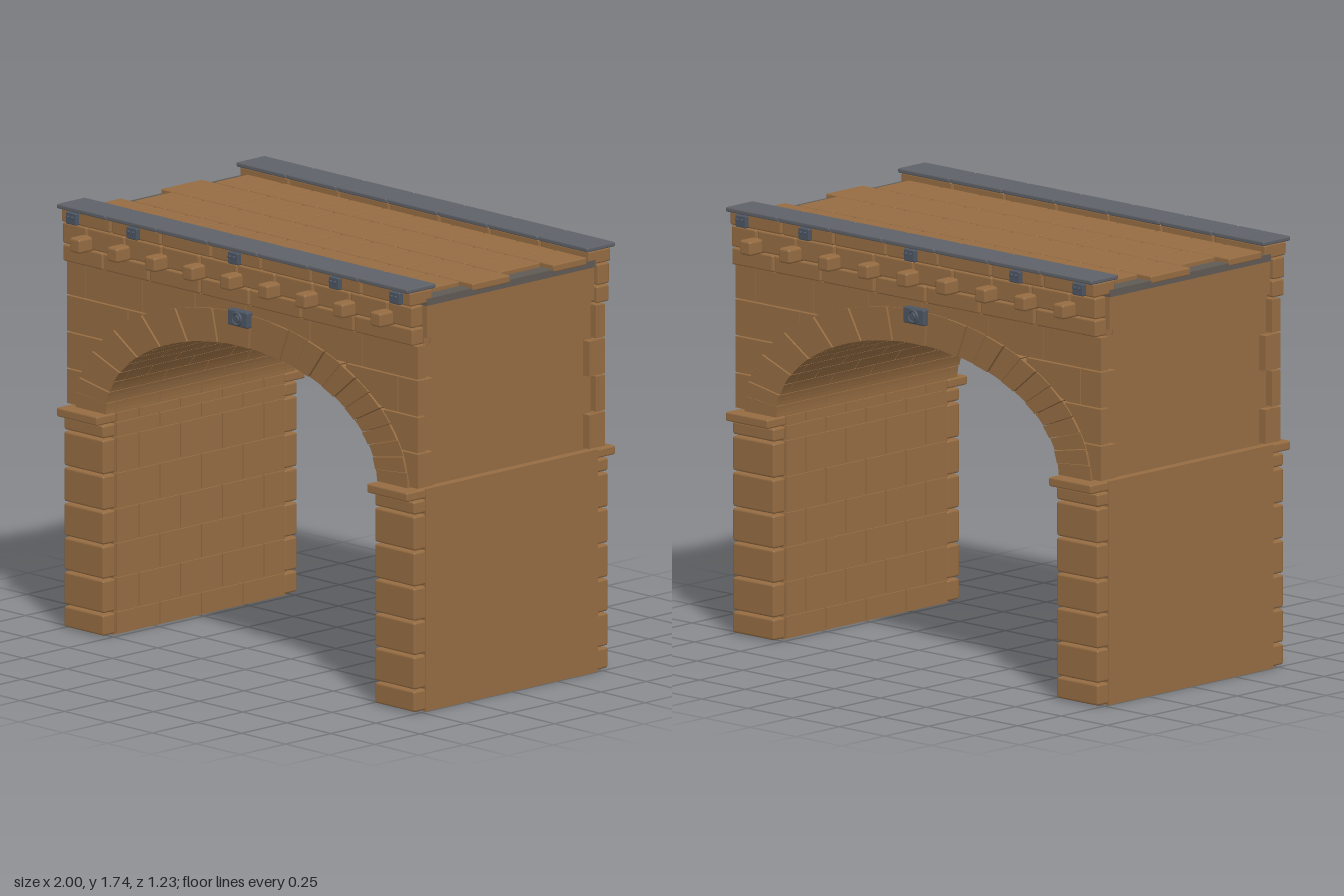
import * as THREE from 'three';
import { RoundedBoxGeometry } from 'three/addons/geometries/RoundedBoxGeometry.js';

const mat = (name, color) => Object.assign(new THREE.MeshStandardMaterial({ color }), { name });
const stone = mat('brown stone', 0x956c42);
const slate = mat('grey slate', 0x5e6167);
const metal = mat('dark iron', 0x4c5562);
const bedding = mat('deck bedding', 0x605a54);

const SPRING = 0.91, GAP = 0.008, VOUSSOIRS = 27;
const COURSES = [0.005, 0.097, 0.237, 0.377, 0.517, 0.663, 0.81, 0.87];

function add(parent, name, geometry, material) {
  const mesh = new THREE.Mesh(geometry, material);
  mesh.name = name;
  parent.add(mesh);
  return mesh;
}

// Box given by its lower and upper limits, optionally with worn edges
function block(parent, name, material, x0, x1, y0, y1, z0, z1, r = 0) {
  const w = x1 - x0, h = y1 - y0, d = z1 - z0;
  const geo = r ? new RoundedBoxGeometry(w, h, d, 1, r) : new THREE.BoxGeometry(w, h, d);
  const mesh = add(parent, name, geo, material);
  mesh.position.set((x0 + x1) / 2, (y0 + y1) / 2, (z0 + z1) / 2);
  return mesh;
}

// Row of blocks along x between the listed joints
function row(parent, name, material, joints, y0, y1, z0, z1, r = 0.008) {
  for (let i = 0; i < joints.length - 1; i++) {
    block(parent, name, material, joints[i] + GAP / 2, joints[i + 1] - GAP / 2, y0, y1, z0, z1, r);
  }
}

function extrude(parent, name, points, z0, z1) {
  const geo = new THREE.ExtrudeGeometry(new THREE.Shape(points), { depth: z1 - z0, bevelEnabled: false });
  geo.translate(0, 0, z0);
  return add(parent, name, geo, stone);
}

const onEllipse = (rx, ry, t) => new THREE.Vector2(rx * Math.cos(t), SPRING + ry * Math.sin(t));

// Wedge of the arch between two inner and two outer radii
function wedge(rx0, ry0, rx1, ry1, t0, t1) {
  const pts = [], n = 3;
  for (let i = 0; i <= n; i++) pts.push(onEllipse(rx1, ry1, t0 + (t1 - t0) * i / n));
  for (let i = n; i >= 0; i--) pts.push(onEllipse(rx0, ry0, t0 + (t1 - t0) * i / n));
  return pts;
}

// Wall stone whose lower edge is cut by the outer curve of the arch
function spandrelStone(parent, x0, x1, y0, y1, z0, z1) {
  const lower = [], n = 24;
  for (let i = 0; i <= n; i++) {
    const x = x0 + (x1 - x0) * i / n;
    const inside = Math.max(0, 1 - (x / 0.945) ** 2);
    const y = Math.max(y0, inside > 0 ? SPRING + 0.55 * Math.sqrt(inside) : y0);
    if (y < y1 - 0.001) lower.push(new THREE.Vector2(x, y));
  }
  if (lower.length < 2) return;
  const first = lower[0].x, last = lower[lower.length - 1].x;
  extrude(parent, 'spandrelStone', [...lower, new THREE.Vector2(last, y1), new THREE.Vector2(first, y1)], z0, z1);
}

function evenJoints(x0, x1, n) {
  return Array.from({ length: n + 1 }, (_, i) => x0 + (x1 - x0) * i / n);
}

function createFacade() {
  const g = new THREE.Group();
  g.name = 'facade';

  // Corner stones of the piers and their imposts
  for (const s of [-1, 1]) {
    for (let i = 0; i < COURSES.length - 1; i++) {
      const x = [s * 0.77, s * 0.998].sort((a, b) => a - b);
      block(g, 'pierStone', stone, x[0], x[1], COURSES[i] + 0.003, COURSES[i + 1] - 0.003, 0.467, 0.536, 0.01);
    }
    const x = [s * 0.766, s * 0.998].sort((a, b) => a - b);
    block(g, 'impost', stone, x[0], x[1], 0.872, SPRING, 0.467, 0.576, 0.008);
  }

  // Ring of wedge stones
  for (let i = 0; i < VOUSSOIRS; i++) {
    const a = Math.PI * i / VOUSSOIRS, b = Math.PI * (i + 1) / VOUSSOIRS;
    const proud = 0.522 + 0.005 * (i % 2);
    extrude(g, 'archStone', wedge(0.77, 0.415, 0.945, 0.55, a + 0.003, b - 0.003), 0.47, proud);
  }

  // Wall stones above the arch
  const wall = [
    [0.915, 1.06, [-0.998, 0, 0.998]],
    [1.06, 1.21, [-0.998, -0.8, 0, 0.8, 0.998]],
    [1.21, 1.36, [-0.998, -0.65, 0, 0.885, 0.998]],
    [1.36, 1.5, [-0.998, -0.89, -0.57, -0.27, 0.02, 0.385, 0.685, 0.998]],
  ];
  wall.forEach(([y0, y1, joints], k) => {
    for (let i = 0; i < joints.length - 1; i++) {
      spandrelStone(g, joints[i] + 0.002, joints[i + 1] - 0.002, y0 + 0.003, y1 - 0.003, 0.47, 0.517);
    }
    // Returns of the corner stones along the side walls
    for (const s of [-1, 1]) {
      const x = [s * 0.95, s * 0.998].sort((a, b) => a - b);
      block(g, 'cornerReturn', stone, x[0], x[1], y0 + 0.004, y1 - 0.004, k % 2 ? 0.48 : 0.43, 0.517);
    }
  });

  // Stepped courses under the parapet
  row(g, 'lowerCourse', stone, [-0.998, -0.765, -0.505, -0.215, 0.065, 0.36, 0.66, 0.998], 1.503, 1.572, 0.478, 0.544);
  row(g, 'upperCourse', stone, [-0.998, -0.855, -0.64, -0.43, -0.215, 0, 0.215, 0.43, 0.64, 0.855, 0.998],
    1.576, 1.662, 0.482, 0.546);
  for (let i = -4; i <= 4; i++) {
    const x = i * 0.2138;
    block(g, 'corbel', stone, x - 0.031, x + 0.031, 1.57, 1.63, 0.5, 0.616, 0.011);
  }

  // Parapet with slate coping
  const coping = evenJoints(-1.003, 1.003, 7);
  row(g, 'parapetStone', stone, coping.map((x) => x * 0.995), 1.665, 1.722, 0.432, 0.553);
  row(g, 'copingSlab', slate, coping, 1.721, 1.74, 0.418, 0.575, 0.006);

  // Riveted iron clamps
  for (const x of [-0.92, -0.575, 0, 0.575, 0.92]) {
    block(g, 'clamp', metal, x - 0.029, x + 0.029, 1.667, 1.716, 0.545, 0.572, 0.005);
    for (const dx of [-0.012, 0.012]) {
      const rivet = add(g, 'clampRivet', new THREE.CylinderGeometry(0.006, 0.006, 0.014, 8), metal);
      rivet.rotation.x = Math.PI / 2;
      rivet.position.set(x + dx, 1.698, 0.577);
    }
  }

  // Iron plate with a ring at the crown of the arch
  block(g, 'crownPlate', metal, -0.057, 0.057, 1.408, 1.474, 0.51, 0.546, 0.007);
  const ring = add(g, 'crownRing', new THREE.TorusGeometry(0.024, 0.006, 8, 20), metal);
  ring.position.set(0, 1.441, 0.548);
  const boss = add(g, 'crownBoss', new THREE.CylinderGeometry(0.015, 0.018, 0.014, 16), metal);
  boss.rotation.x = Math.PI / 2;
  boss.position.set(0, 1.441, 0.549);
  return g;
}

export function createModel() {
  const model = new THREE.Group();
  model.name = 'stoneArchBridge';

  const front = createFacade();
  const back = createFacade();
  back.rotation.y = Math.PI;
  model.add(front, back);

  // Solid core above the arch
  const core = [new THREE.Vector2(0.962, SPRING), new THREE.Vector2(0.962, 1.503),
    new THREE.Vector2(-0.962, 1.503), new THREE.Vector2(-0.962, SPRING)];
  for (let i = 48; i >= 0; i--) core.push(onEllipse(0.775, 0.42, Math.PI * i / 48));
  extrude(model, 'archCore', core, -0.478, 0.478);
  block(model, 'deckCore', stone, -0.975, 0.975, 1.5, 1.66, -0.462, 0.462);

  for (const s of [-1, 1]) {
    const span = (a, b) => [s * a, s * b].sort((p, q) => p - q);
    // Pier walls and the bands that top the side walls
    block(model, 'pierCore', stone, ...span(0.777, 1), 0.003, SPRING, -0.475, 0.475);
    block(model, 'sideBand', stone, ...span(0.95, 0.992), 1.522, 1.655, -0.462, 0.462);
    block(model, 'sideBandFoot', stone, ...span(0.95, 0.98), 1.495, 1.524, -0.43, 0.43);

    // Staggered bricks on the inner faces of the piers
    for (let i = 0; i < COURSES.length; i++) {
      const cuts = i % 2 ? [-0.466, -0.35, -0.12, 0.11, 0.34, 0.466] : [-0.466, -0.235, -0.005, 0.225, 0.466];
      const top = i < COURSES.length - 1 ? COURSES[i + 1] : SPRING;
      for (let j = 0; j < cuts.length - 1; j++) {
        block(model, 'innerBrick', stone, ...span(0.77, 0.79), COURSES[i] + 0.003, top - 0.003,
          cuts[j] + 0.003, cuts[j + 1] - 0.003);
      }
    }
  }

  // Bricks lining the vault
  for (let i = 0; i < VOUSSOIRS; i++) {
    const a = Math.PI * i / VOUSSOIRS + 0.002, b = Math.PI * (i + 1) / VOUSSOIRS - 0.002;
    const cuts = i % 2 ? [-0.47, -0.35, -0.12, 0.11, 0.34, 0.47] : [-0.47, -0.235, -0.005, 0.225, 0.47];
    for (let j = 0; j < cuts.length - 1; j++) {
      extrude(model, 'vaultBrick', wedge(0.77, 0.415, 0.785, 0.43, a, b), cuts[j] + 0.002, cuts[j + 1] - 0.002);
    }
  }

  // Paved deck on its dark bed, in four staggered rows
  block(model, 'deckBed', bedding, -0.996, 0.996, 1.655, 1.684, -0.465, 0.465);
  const rows = [-0.42, -0.23, 0.002, 0.217, 0.414];
  for (let i = 0; i < 4; i++) {
    const shift = i % 2 ? -0.034 : 0.034;
    const joints = evenJoints(-0.968 + shift, 0.968 + shift, 10)
      .map((x, k) => x + (k > 0 && k < 10 ? 0.012 * Math.sin(k * 2.3 + i * 1.7) : 0));
    row(model, 'pavingSlab', stone, joints, 1.672, 1.703, rows[i] + 0.003, rows[i + 1] - 0.003, 0.006);
  }
  return model;
}
